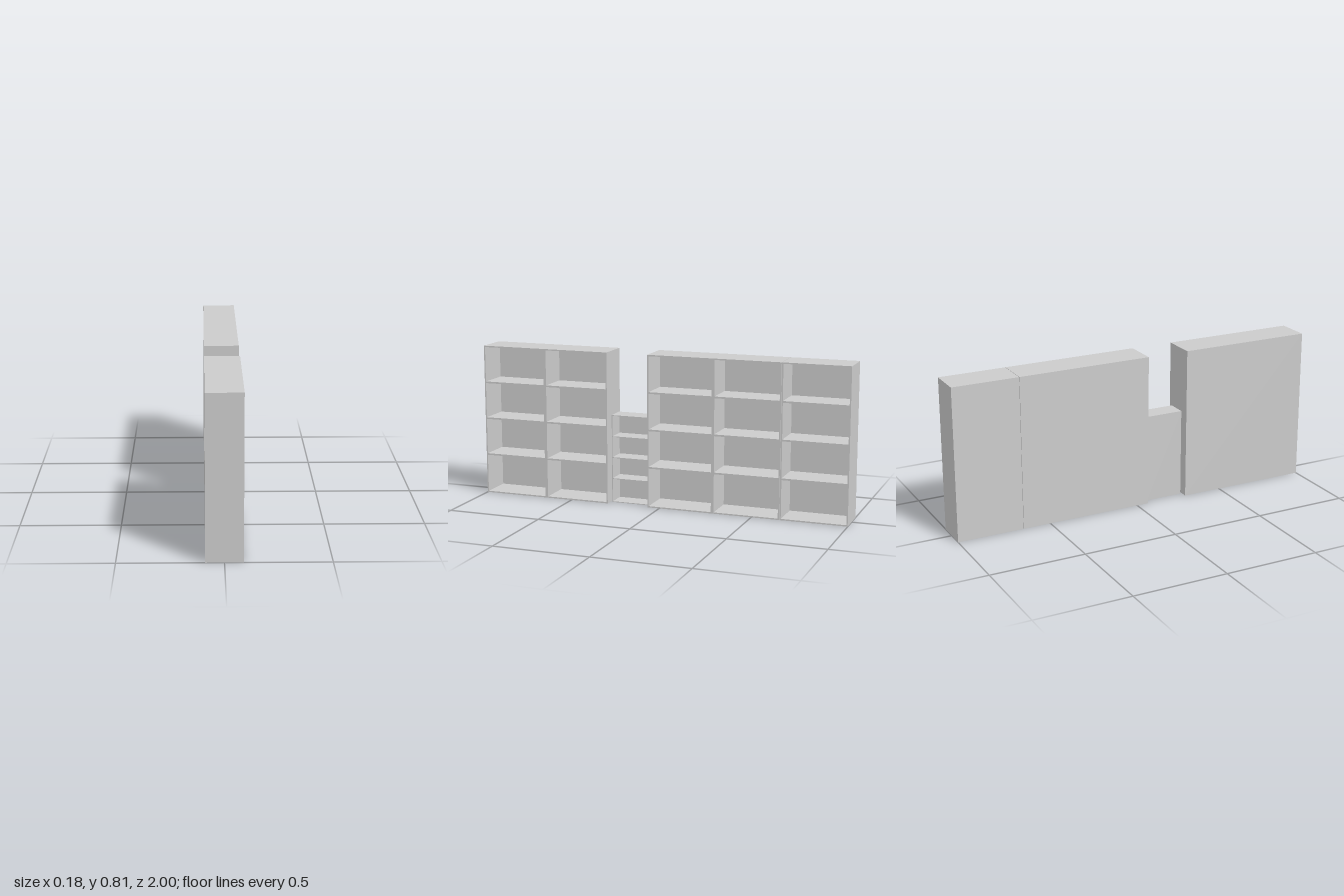
import * as THREE from 'three';

const material = new THREE.MeshStandardMaterial({ color: 0xcccccc, flatShading: true });

// Box given by its min and max corner
function panel(group, name, [x0, y0, z0], [x1, y1, z1]) {
  const mesh = new THREE.Mesh(new THREE.BoxGeometry(x1 - x0, y1 - y0, z1 - z0), material);
  mesh.position.set((x0 + x1) / 2, (y0 + y1) / 2, (z0 + z1) / 2);
  mesh.name = name;
  group.add(mesh);
}

// Open-fronted shelving unit whose openings face +x
function shelfUnit(name, { x0, x1, z0, z1, height, bays, shelves, wall, divider, shelf }) {
  const unit = new THREE.Group();
  unit.name = name;
  const inner = x0 + wall;

  // Carcass
  panel(unit, 'backPanel', [x0, 0, z0], [inner, height, z1]);
  panel(unit, 'rearSide', [inner, 0, z0], [x1, height, z0 + wall]);
  panel(unit, 'frontSide', [inner, 0, z1 - wall], [x1, height, z1]);
  panel(unit, 'bottomPanel', [inner, 0, z0 + wall], [x1, wall, z1 - wall]);
  panel(unit, 'topPanel', [inner, height - wall, z0 + wall], [x1, height, z1 - wall]);

  // Dividers and the shelves of each bay
  const bayWidth = (z1 - z0) / bays;
  for (let i = 0; i < bays; i++) {
    const start = z0 + i * bayWidth;
    const near = start + (i > 0 ? divider / 2 : wall);
    const far = start + bayWidth - (i < bays - 1 ? divider / 2 : wall);
    if (i > 0) {
      panel(unit, 'divider', [inner, wall, start - divider / 2], [x1, height - wall, start + divider / 2]);
    }
    for (const y of shelves) {
      panel(unit, 'shelf', [inner, y - shelf / 2, near], [x1, y + shelf / 2, far]);
    }
  }
  return unit;
}

export function createModel() {
  const model = new THREE.Group();
  model.name = 'shelvingRow';

  const tall = {
    x0: -0.089, x1: 0.089, height: 0.806, shelves: [0.213, 0.412, 0.608],
    wall: 0.007, divider: 0.015, shelf: 0.009,
  };
  model.add(shelfUnit('frontTallShelf', { ...tall, z0: 0.29, z1: 1, bays: 2 }));
  model.add(shelfUnit('middleTallShelf', { ...tall, z0: -0.647, z1: 0.065, bays: 2 }));
  model.add(shelfUnit('rearTallShelf', { ...tall, z0: -1, z1: -0.649, bays: 1 }));

  // Small low shelf in the gap
  model.add(shelfUnit('lowShelf', {
    x0: -0.053, x1: 0.05, z0: 0.076, z1: 0.28, height: 0.47, bays: 1,
    shelves: [0.128, 0.242, 0.355], wall: 0.004, divider: 0.004, shelf: 0.004,
  }));
  return model;
}
